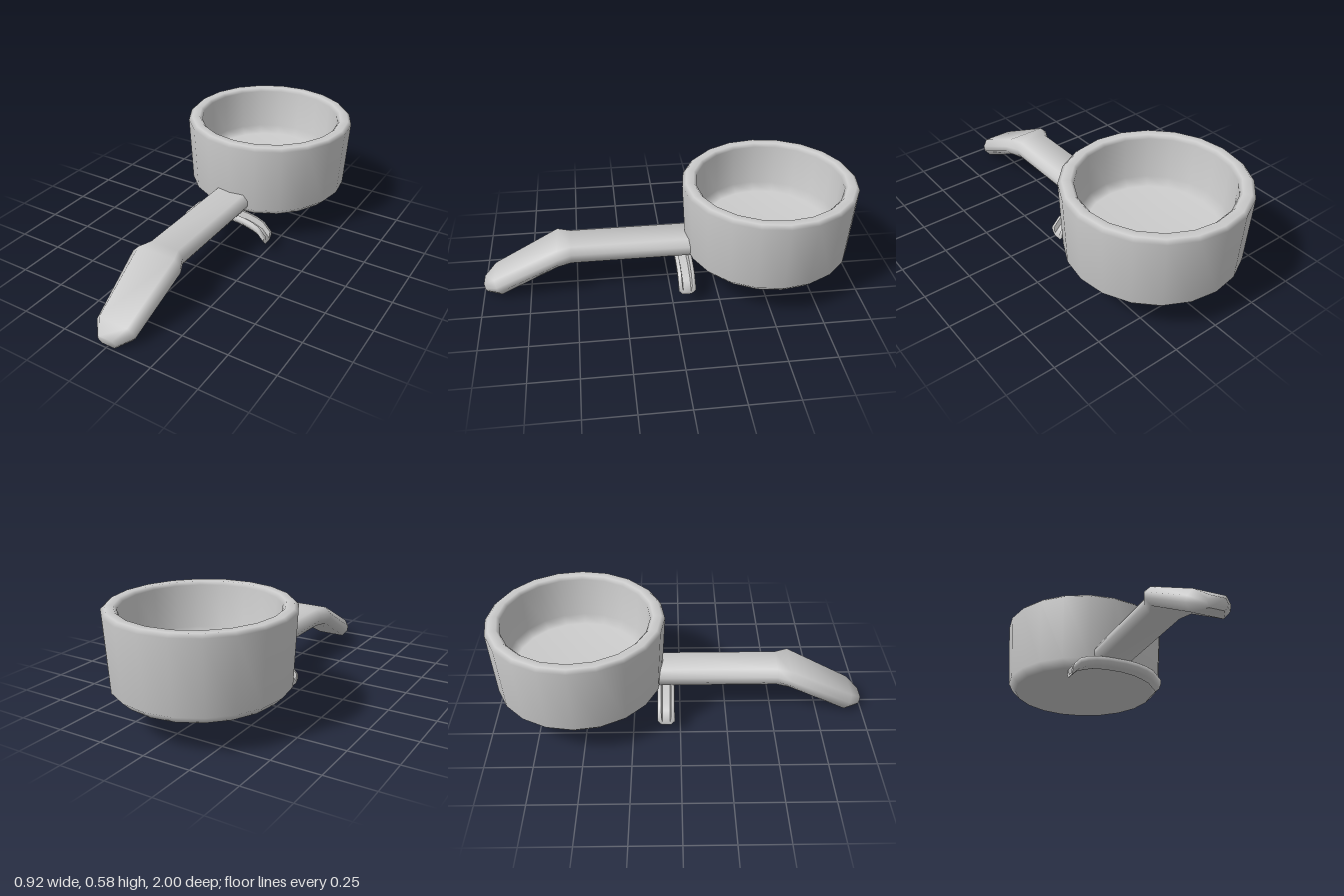
import * as THREE from 'three';
import { toCreasedNormals } from 'three/addons/utils/BufferGeometryUtils.js';

const material = new THREE.MeshStandardMaterial({ color: 0xcccccc, side: THREE.DoubleSide });

function addMesh(group, name, geometry) {
  const mesh = new THREE.Mesh(geometry, material);
  mesh.name = name;
  group.add(mesh);
  return mesh;
}

// Skin a list of equal-length rings, capped at both ends.
// Each ring runs anticlockwise when seen from the far end; flat is the 2D cap outline.
function loft(rings, flat) {
  const n = flat.length, last = (rings.length - 1) * n, index = [];
  for (let i = 0; i < rings.length - 1; i++) {
    for (let j = 0; j < n; j++) {
      const k = (j + 1) % n;
      const a = i * n + j, b = i * n + k, c = b + n, d = a + n;
      index.push(a, b, c, a, c, d);
    }
  }
  for (const [a, b, c] of THREE.ShapeUtils.triangulateShape(flat, [])) {
    index.push(a, c, b, last + a, last + b, last + c);
  }
  const geometry = new THREE.BufferGeometry();
  geometry.setAttribute('position', new THREE.Float32BufferAttribute(rings.flat(2), 3));
  geometry.setIndex(index);
  return toCreasedNormals(geometry, 1.3);
}

export function createModel() {
  const model = new THREE.Group();

  // Round basket: chamfered foot, flared wall, bevelled rim, hollow with a chamfered floor
  const profile = [
    [0, 0.158], [0.4, 0.158], [0.442, 0.2], [0.462, 0.565], [0.443, 0.582],
    [0.402, 0.582], [0.386, 0.565], [0.374, 0.345], [0.335, 0.305], [0, 0.305],
  ].map(([r, y]) => new THREE.Vector2(r, y));
  const basket = addMesh(model, 'basket', new THREE.LatheGeometry(profile, 20));
  basket.position.z = -0.538;

  // Handle: chamfered section swept along the shaft and down the drooping grip
  const octagon = [
    [1, -0.3], [1, 0.3], [0.75, 1], [-0.75, 1],
    [-1, 0.3], [-1, -0.3], [-0.75, -1], [0.75, -1],
  ].map(([u, v]) => new THREE.Vector2(u, v));
  // half width, top (z, y), bottom (z, y)
  const stations = [
    [0.105, -0.115, 0.285, -0.115, 0.183],
    [0.105, 0.52, 0.285, 0.52, 0.183],
    [0.14, 0.59, 0.285, 0.59, 0.183],
    [0.108, 0.938, 0.104, 0.905, 0.008],
    [0.05, 1.0, 0.052, 0.985, 0],
  ];
  const handleRings = stations.map(([w, zt, yt, zb, yb]) => octagon.map((p) => {
    const t = (p.y + 1) / 2;
    return [p.x * w, yb + (yt - yb) * t, zb + (zt - zb) * t];
  }));
  addMesh(model, 'handle', loft(handleRings, octagon));

  // Pouring spout: open channel arching out to both sides under the shaft
  const channel = [
    [-0.024, 0], [0.024, 0], [0.045, 0.45], [0.045, 0.85], [0.037, 1], [0.026, 1],
    [0.02, 0.3], [-0.02, 0.3], [-0.026, 1], [-0.037, 1], [-0.045, 0.85], [-0.045, 0.45],
  ].map(([u, v]) => new THREE.Vector2(u, v));
  // x, bottom y, top y for one side
  const arch = [
    [0.253, 0.056, 0.108], [0.21, 0.1, 0.154], [0.17, 0.116, 0.17],
    [0.12, 0.13, 0.181], [0.05, 0.138, 0.188],
  ];
  const path = [
    ...arch.map(([x, b, t]) => [-x, b, t]),
    ...[...arch].reverse(),
  ];
  const spoutRings = path.map(([x, b, t]) => channel.map((p) => [x, b + (t - b) * p.y, -0.075 - p.x]));
  addMesh(model, 'spout', loft(spoutRings, channel));

  return model;
}
